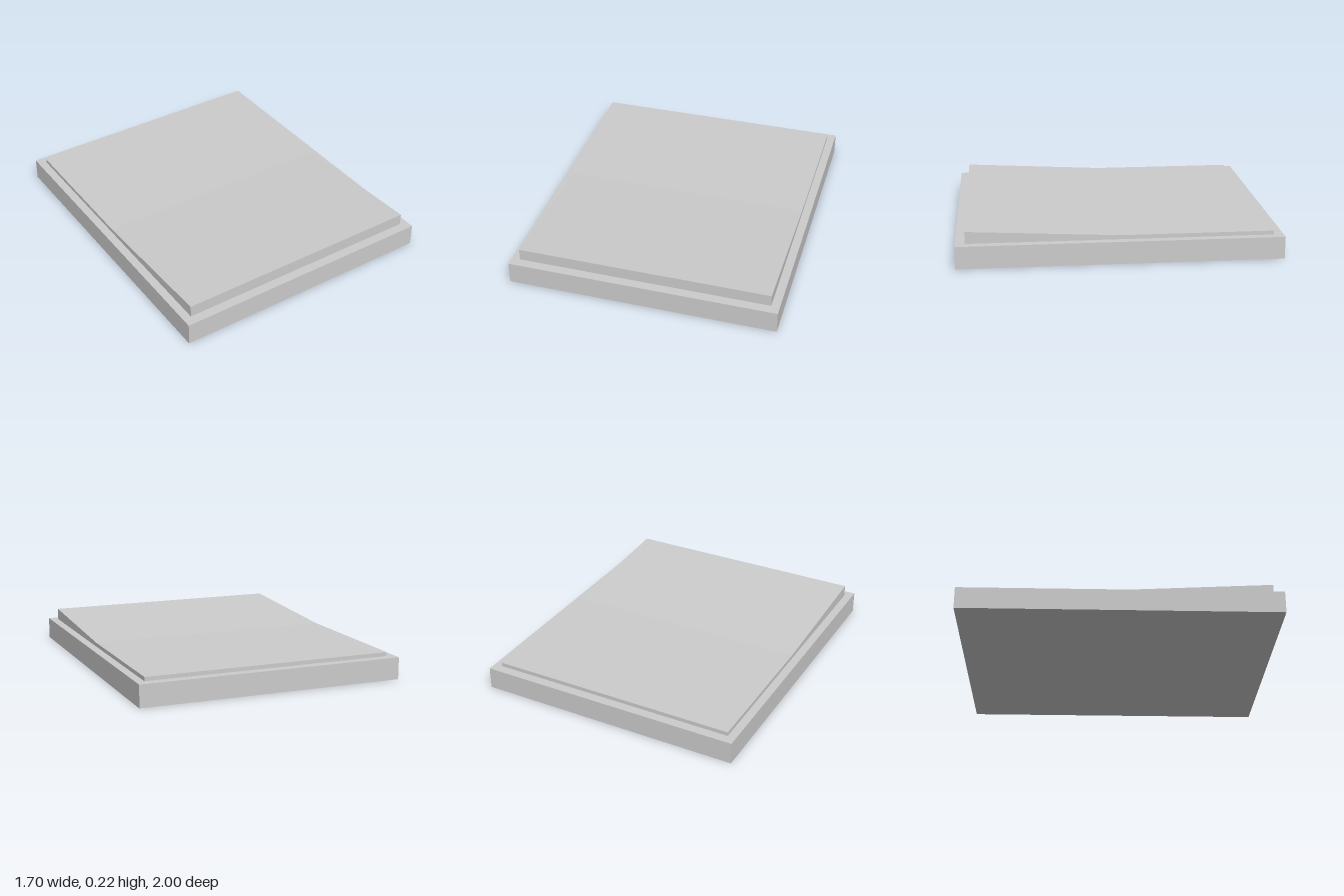
import * as THREE from 'three';

const BASE = { width: 1.7, height: 0.14, depth: 2 };
const PAD = { width: 1.595, halfDepth: 0.94, low: 0.165, high: 0.215 };

export function createModel() {
  const model = new THREE.Group();
  model.name = 'slopedPlatform';
  const grey = new THREE.MeshStandardMaterial({ color: 0xcccccc, flatShading: true });
  grey.name = 'light grey';

  // Flat rectangular plinth
  const base = new THREE.Mesh(new THREE.BoxGeometry(BASE.width, BASE.height, BASE.depth), grey);
  base.name = 'base';
  base.position.y = BASE.height / 2;
  model.add(base);

  // Inset pad: level at the back, rising to the front; profile is (z, y)
  const profile = new THREE.Shape([
    [-PAD.halfDepth, BASE.height],
    [PAD.halfDepth, BASE.height],
    [PAD.halfDepth, PAD.high],
    [0, PAD.low],
    [-PAD.halfDepth, PAD.low],
  ].map(([z, y]) => new THREE.Vector2(z, y)));
  const padGeometry = new THREE.ExtrudeGeometry(profile, { depth: PAD.width, bevelEnabled: false });
  padGeometry.rotateY(-Math.PI / 2).translate(PAD.width / 2, 0, 0);
  const pad = new THREE.Mesh(padGeometry, grey);
  pad.name = 'slopedPad';
  model.add(pad);

  return model;
}
